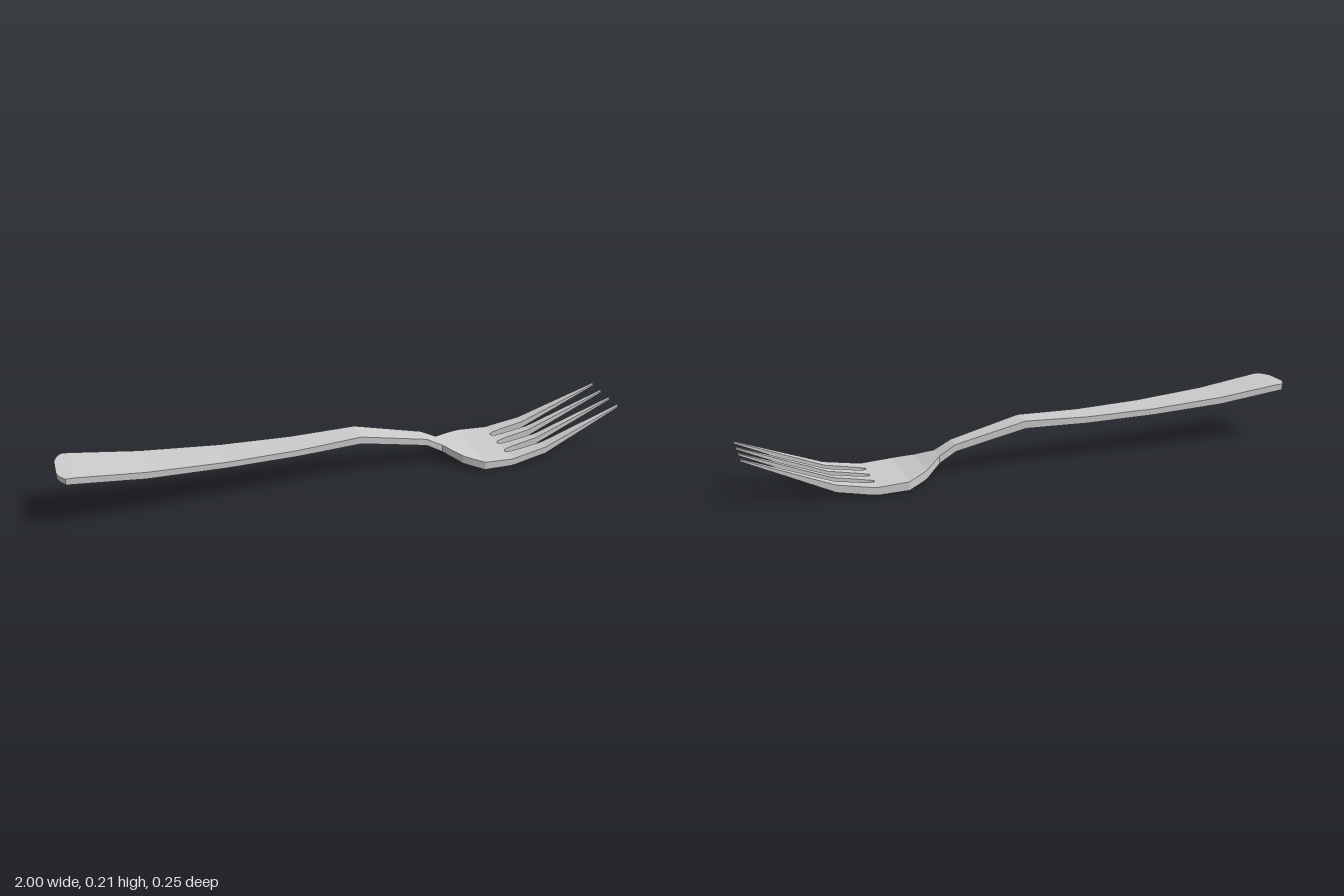
import * as THREE from 'three';

const material = new THREE.MeshStandardMaterial({ color: 0xcccccc, flatShading: true });

// Side profile of the bent sheet: [x, top y, bottom y]
const profile = [
  [-1, 0.216, 0.196], [-0.95, 0.214, 0.19], [-0.72, 0.186, 0.161], [-0.45, 0.168, 0.146],
  [-0.2, 0.163, 0.14], [0.03, 0.17, 0.143], [0.28, 0.111, 0.086], [0.34, 0.078, 0.052],
  [0.4, 0.052, 0.022], [0.47, 0.035, 0.005], [0.58, 0.029, 0.002], [0.71, 0.053, 0.027],
  [1, 0.167, 0.161],
];

function heightsAt(x) {
  let i = 0;
  while (i < profile.length - 2 && x > profile[i + 1][0]) i++;
  const [a, b] = [profile[i], profile[i + 1]];
  const t = (x - a[0]) / (b[0] - a[0]);
  return [a[1] + (b[1] - a[1]) * t, a[2] + (b[2] - a[2]) * t];
}

// Joins rectangular cross-sections [x, z min, z max] into a closed bar following the profile
function bar(name, sections) {
  const loops = sections.map(([x, z0, z1]) => {
    const [top, bottom] = heightsAt(x);
    return [[x, top, z1], [x, top, z0], [x, bottom, z0], [x, bottom, z1]];
  });
  const positions = [];
  const quad = (a, b, c, d) => positions.push(...a, ...b, ...c, ...a, ...c, ...d);
  for (let s = 0; s < loops.length - 1; s++) {
    const [p, q] = [loops[s], loops[s + 1]];
    for (let i = 0; i < 4; i++) {
      const j = (i + 1) % 4;
      quad(p[i], q[i], q[j], p[j]);
    }
  }
  quad(...loops[0]);
  quad(...loops[loops.length - 1].slice().reverse());
  const geometry = new THREE.BufferGeometry();
  geometry.setAttribute('position', new THREE.Float32BufferAttribute(positions, 3));
  geometry.computeVertexNormals();
  const mesh = new THREE.Mesh(geometry, material);
  mesh.name = name;
  return mesh;
}

export function createModel() {
  const group = new THREE.Group();
  group.name = 'fork';

  // Handle with a rounded end, tapering to the neck
  const taper = (x) => 0.085 + (0.031 - 0.085) * (x + 0.975) / 1.255;
  const handle = [[-1, 0.04], [-0.99, 0.066], [-0.975, 0.085]];
  for (const x of [-0.95, -0.72, -0.45, -0.2, 0.03, 0.28]) handle.push([x, taper(x)]);
  group.add(bar('handle', handle.map(([x, h]) => [x, -h, h])));

  // Flared head up to the roots of the tines
  const head = [[0.28, 0.031], [0.34, 0.035], [0.4, 0.088], [0.43, 0.106], [0.47, 0.127], [0.575, 0.126]];
  group.add(bar('head', head.map(([x, h]) => [x, -h, h])));

  // Four tines, separated by three slots with narrow rounded roots
  const slots = [-0.064, -0.001, 0.063];
  const tips = [-0.085, -0.024, 0.038, 0.1];
  tips.forEach((tip, i) => {
    const edges = (slotHalf, outer) => [
      i === 0 ? -outer : slots[i - 1] + slotHalf,
      i === 3 ? outer : slots[i] - slotHalf,
    ];
    const root = edges(0.015, 0.124);
    const end = [tip - 0.005, tip + 0.005];
    const t = (0.71 - 0.62) / (1 - 0.62);
    const middle = root.map((z, k) => z + (end[k] - z) * t);
    if (i === 0) middle[0] = -0.118;
    if (i === 3) middle[1] = 0.121;
    group.add(bar('tine' + (i + 1), [
      [0.575, ...edges(0.006, 0.126)],
      [0.59, ...edges(0.012, 0.125)],
      [0.62, ...root],
      [0.71, ...middle],
      [1, ...end],
    ]));
  });
  return group;
}
